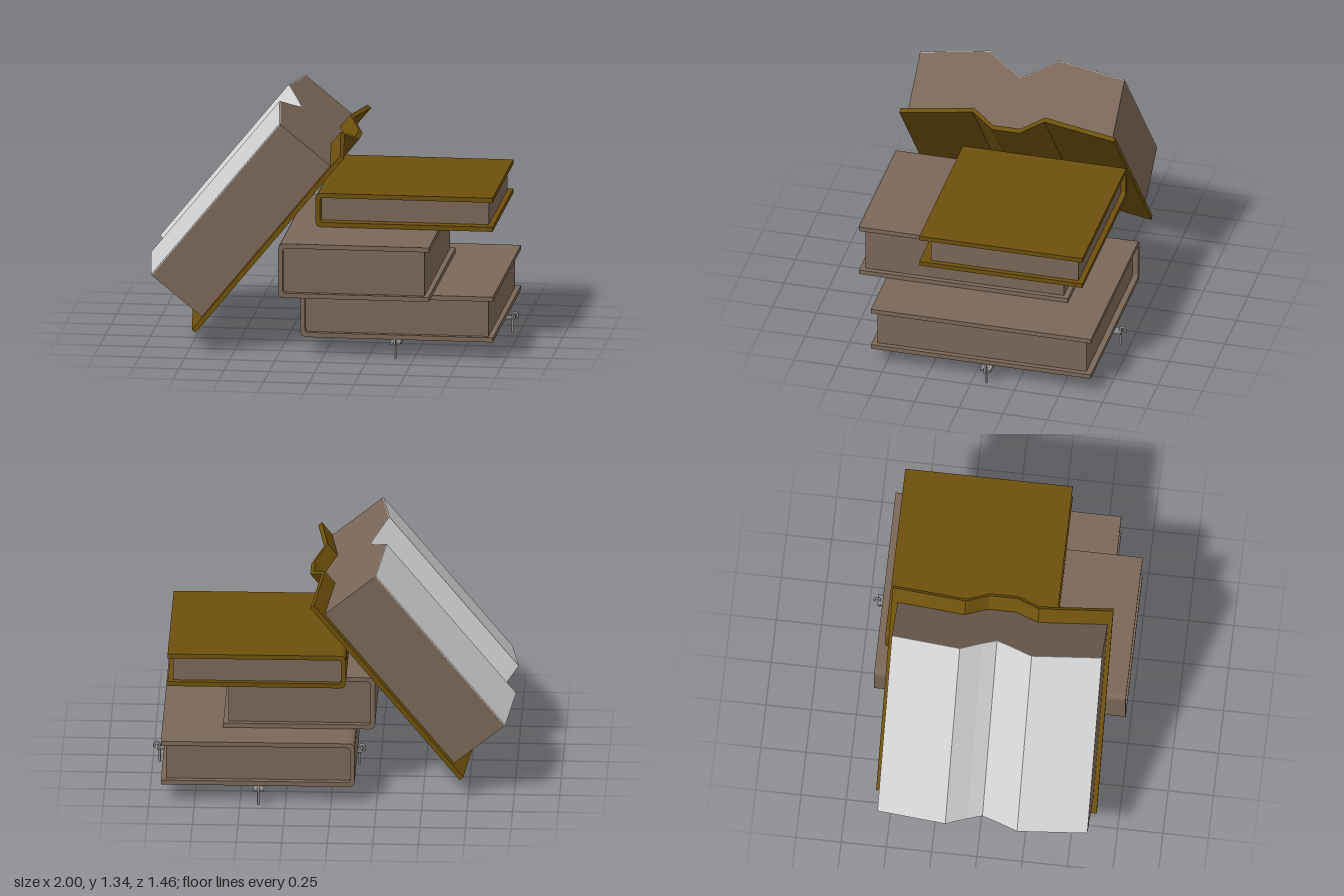
import * as THREE from 'three';

const mat = (name, color) => Object.assign(new THREE.MeshStandardMaterial({ color }), { name });

export function createModel() {
  const root = new THREE.Group();
  root.name = 'bookStack';
  const brown = mat('brown', 0x7a6758);
  const ochre = mat('ochre', 0x6d500c);
  const paper = mat('paper', 0xd2d2d2);
  const metal = mat('metal', 0x8c8c8c);

  const add = (parent, name, geometry, material) => {
    const mesh = new THREE.Mesh(geometry, material);
    mesh.name = name;
    parent.add(mesh);
    return mesh;
  };
  const extrude = (shape, depth) =>
    new THREE.ExtrudeGeometry(shape, { depth, bevelEnabled: false, curveSegments: 5 });

  // Closed books: a U-shaped cover with rounded spine corners around a page block
  const T = 0.026;
  function closedBook(name, cover, [x0, x1], [y0, y1], [z0, z1], [pz0, pz1]) {
    const book = new THREE.Group();
    book.name = name;
    const R = 0.035, r = 0.02;
    const ix = x0 + T, iy0 = y0 + T, iy1 = y1 - T;
    const u = new THREE.Shape();
    u.moveTo(x1, y0);
    u.lineTo(x1, iy0);
    u.lineTo(ix + r, iy0);
    u.quadraticCurveTo(ix, iy0, ix, iy0 + r);
    u.lineTo(ix, iy1 - r);
    u.quadraticCurveTo(ix, iy1, ix + r, iy1);
    u.lineTo(x1, iy1);
    u.lineTo(x1, y1);
    u.lineTo(x0 + R, y1);
    u.quadraticCurveTo(x0, y1, x0, y1 - R);
    u.lineTo(x0, y0 + R);
    u.quadraticCurveTo(x0, y0, x0 + R, y0);
    add(book, 'cover', extrude(u, z1 - z0), cover).position.z = z0;

    const px = x1 - 0.028;
    const p = new THREE.Shape();
    p.moveTo(px, iy0);
    p.lineTo(px, iy1);
    p.lineTo(ix + r, iy1);
    p.quadraticCurveTo(ix, iy1, ix, iy1 - r);
    p.lineTo(ix, iy0 + r);
    p.quadraticCurveTo(ix, iy0, ix + r, iy0);
    add(book, 'pages', extrude(p, pz1 - pz0), brown).position.z = pz0;
    root.add(book);
  }
  closedBook('bottomBook', brown, [-0.13, 0.935], [0.1, 0.355], [-0.667, 0.58], [-0.635, 0.55]);
  closedBook('middleBook', brown, [-0.235, 0.6], [0.355, 0.66], [-0.45, 0.735], [-0.42, 0.705]);
  closedBook('topBook', ochre, [-0.08, 0.9], [0.66, 0.85], [-0.61, 0.315], [-0.58, 0.255]);

  // Open book leaning on the stack: profiles [z, height off the slope] extruded up the slope
  const open = new THREE.Group();
  open.name = 'openBook';
  open.matrixAutoUpdate = true;
  open.quaternion.setFromRotationMatrix(new THREE.Matrix4().makeBasis(
    new THREE.Vector3(0, 0, -1),
    new THREE.Vector3(-0.775, 0.632, 0).normalize(),
    new THREE.Vector3(0.632, 0.775, 0).normalize()));
  const band = (upper, lower) => new THREE.Shape(
    [...upper, ...[...lower].reverse()].map(([z, n]) => new THREE.Vector2(-z, n)));
  const drop = (profile, d) => profile.map(([z, n]) => [z, n - d]);
  const coverTop = [[0.63, 0.646], [0.225, 0.706], [0.1, 0.622], [-0.055, 0.622], [-0.18, 0.706], [-0.588, 0.646]];
  const pageTop = [[0.605, 1.012], [0.222, 1.072], [0.1, 0.993], [0.02, 0.947], [-0.06, 0.993], [-0.175, 1.072], [-0.555, 1.012]];
  const pageBase = [[0.605, 0.65], ...coverTop.slice(1, 5), [-0.555, 0.65]];
  add(open, 'openCover', extrude(band(coverTop, drop(coverTop, 0.026)), 1.298), ochre).position.z = -0.353;
  add(open, 'openPageBlock', extrude(band(drop(pageTop, 0.005), pageBase), 1.125), brown).position.z = -0.267;
  add(open, 'openPageFaces', extrude(band(pageTop, drop(pageTop, 0.005)), 1.125), paper).position.z = -0.267;
  root.add(open);

  // Wire stand: two crossed flat bars with a hooked leg at each end
  const stand = new THREE.Group();
  stand.name = 'stand';
  const cx = 0.398, cz = -0.08;
  add(stand, 'barAcross', new THREE.BoxGeometry(1.13, 0.01, 0.06), metal).position.set(0.412, 0.085, cz);
  add(stand, 'barDeep', new THREE.BoxGeometry(0.06, 0.01, 1.32), metal).position.set(cx, 0.085, -0.045);
  const path = new THREE.CurvePath();
  const v = (x, y) => new THREE.Vector3(x, y, 0);
  path.add(new THREE.LineCurve3(v(0, 0), v(0, 0.095)));
  path.add(new THREE.CubicBezierCurve3(v(0, 0.095), v(0, 0.122), v(0.028, 0.122), v(0.028, 0.095)));
  path.add(new THREE.LineCurve3(v(0.028, 0.095), v(0.028, 0.082)));
  const hook = new THREE.TubeGeometry(path, 28, 0.007, 8);
  const foot = new THREE.CircleGeometry(0.007, 8).rotateX(Math.PI / 2);
  const ends = [[0.963, cz, 0], [-0.137, cz, Math.PI], [cx, -0.695, Math.PI / 2], [cx, 0.606, -Math.PI / 2]];
  for (const [x, z, turn] of ends) {
    const leg = new THREE.Group();
    leg.name = 'hookedLeg';
    add(leg, 'hook', hook, metal);
    add(leg, 'foot', foot, metal);
    leg.position.set(x, 0, z);
    leg.rotation.y = turn;
    stand.add(leg);
  }
  root.add(stand);
  return root;
}
